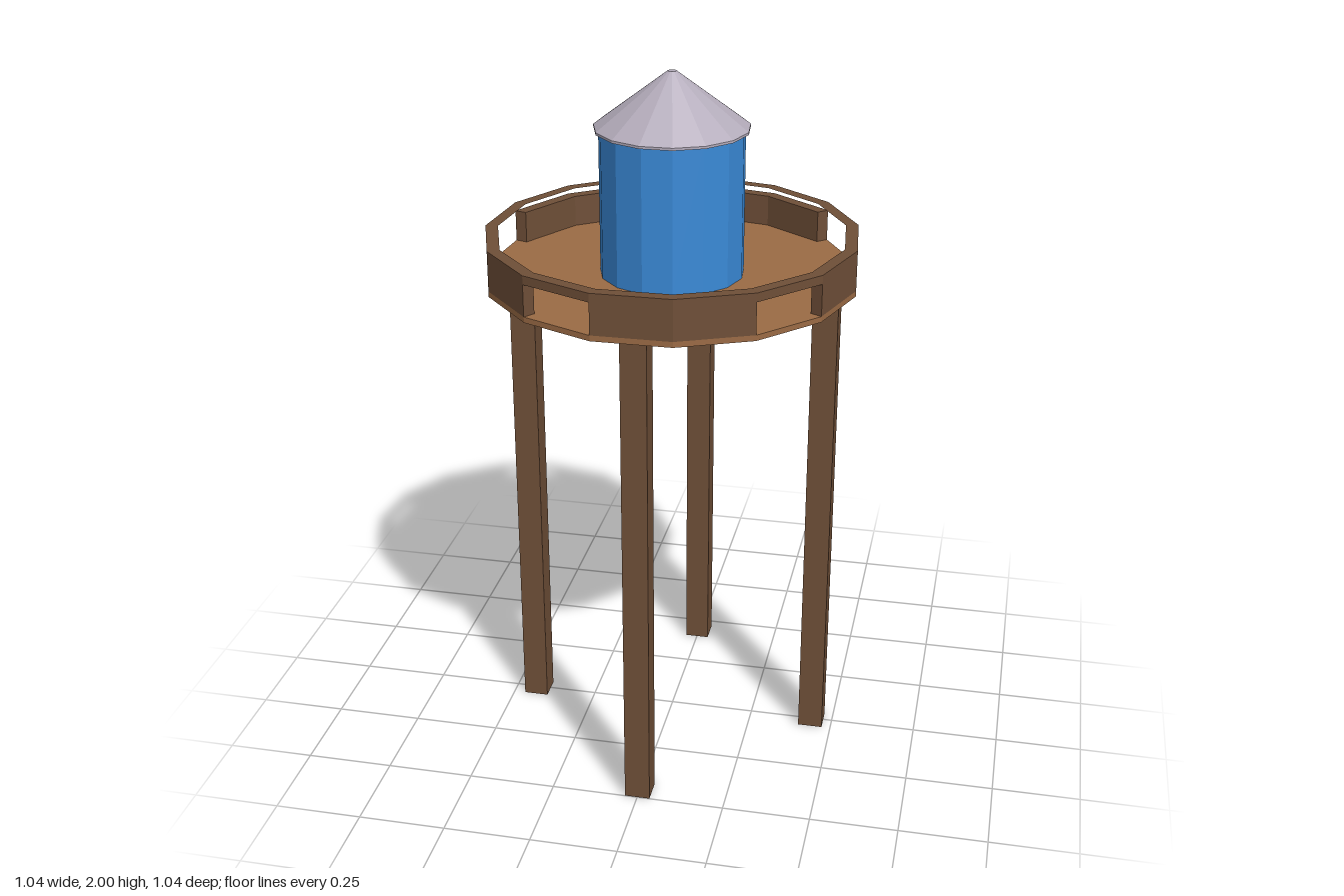
import * as THREE from 'three';

const SIDES = 15;
const CENTER_Z = 0.0057; // a 15-sided outline is slightly off-centre between its flat and its corner

export function createModel() {
  const material = (name, color) => new THREE.MeshStandardMaterial({ name, color, flatShading: true });
  const darkWood = material('dark wood', 0x6f4f38);
  const lightWood = material('light wood', 0x9b6b45);
  const blue = material('blue paint', 0x3a8ad8);
  const grey = material('grey roof', 0xb4acbb);

  const model = new THREE.Group();
  model.name = 'waterTower';

  const add = (parent, name, geometry, mat, x = 0, y = 0, z = 0) => {
    const mesh = new THREE.Mesh(geometry, mat);
    mesh.name = name;
    mesh.position.set(x, y, z);
    parent.add(mesh);
    return mesh;
  };

  // 15-sided drum between two heights, with a corner pointing to the back
  const drum = (name, rTop, rBottom, y0, y1, mat) =>
    add(model, name, new THREE.CylinderGeometry(rTop, rBottom, y1 - y0, SIDES, 1, false, Math.PI),
      mat, 0, (y0 + y1) / 2, CENTER_Z);

  // Square legs: front, back, left, right
  const legs = new THREE.Group();
  legs.name = 'legs';
  model.add(legs);
  const legSpots = [
    ['frontLeg', 0, 0.463], ['backLeg', 0, -0.433],
    ['leftLeg', 0.438, 0.006], ['rightLeg', -0.43, 0.006],
  ];
  for (const [name, x, z] of legSpots) {
    add(legs, name, new THREE.BoxGeometry(0.072, 1.42, 0.072), darkWood, x, 0.71, z);
  }

  // Platform floor
  const OUTER = 0.5245, INNER = 0.489;
  drum('platformFloor', OUTER, OUTER, 1.418, 1.434, lightWood);

  // Railing: solid wall sections two sides long, then one open side, under a full top band
  const railing = new THREE.Group();
  railing.name = 'railing';
  railing.position.z = CENTER_Z;
  model.add(railing);
  const arc = (r, from, to) => {
    const points = [];
    for (let i = from; i <= to; i++) {
      const a = (i / SIDES) * Math.PI * 2;
      points.push(new THREE.Vector2(r * Math.sin(a), r * Math.cos(a)));
    }
    return points;
  };
  const raise = (shape, height) =>
    new THREE.ExtrudeGeometry(shape, { depth: height, bevelEnabled: false }).rotateX(-Math.PI / 2);

  for (let i = 0; i < SIDES; i += 3) {
    const wall = new THREE.Shape([...arc(OUTER, i, i + 2), ...arc(INNER, i, i + 2).reverse()]);
    add(railing, 'railWall', raise(wall, 0.09), darkWood, 0, 1.434, 0);
  }
  const band = new THREE.Shape(arc(OUTER, 0, SIDES - 1));
  band.holes.push(new THREE.Path(arc(INNER, 0, SIDES - 1)));
  add(railing, 'railTopBand', raise(band, 0.025), darkWood, 0, 1.524, 0);

  // Tank and conical roof with a thin rim and a small blunt tip
  drum('tank', 0.202, 0.202, 1.434, 1.843, blue);
  drum('roofRim', 0.215, 0.215, 1.842, 1.849, grey);
  drum('roofCone', 0.0126, 0.215, 1.849, 2, grey);

  return model;
}
